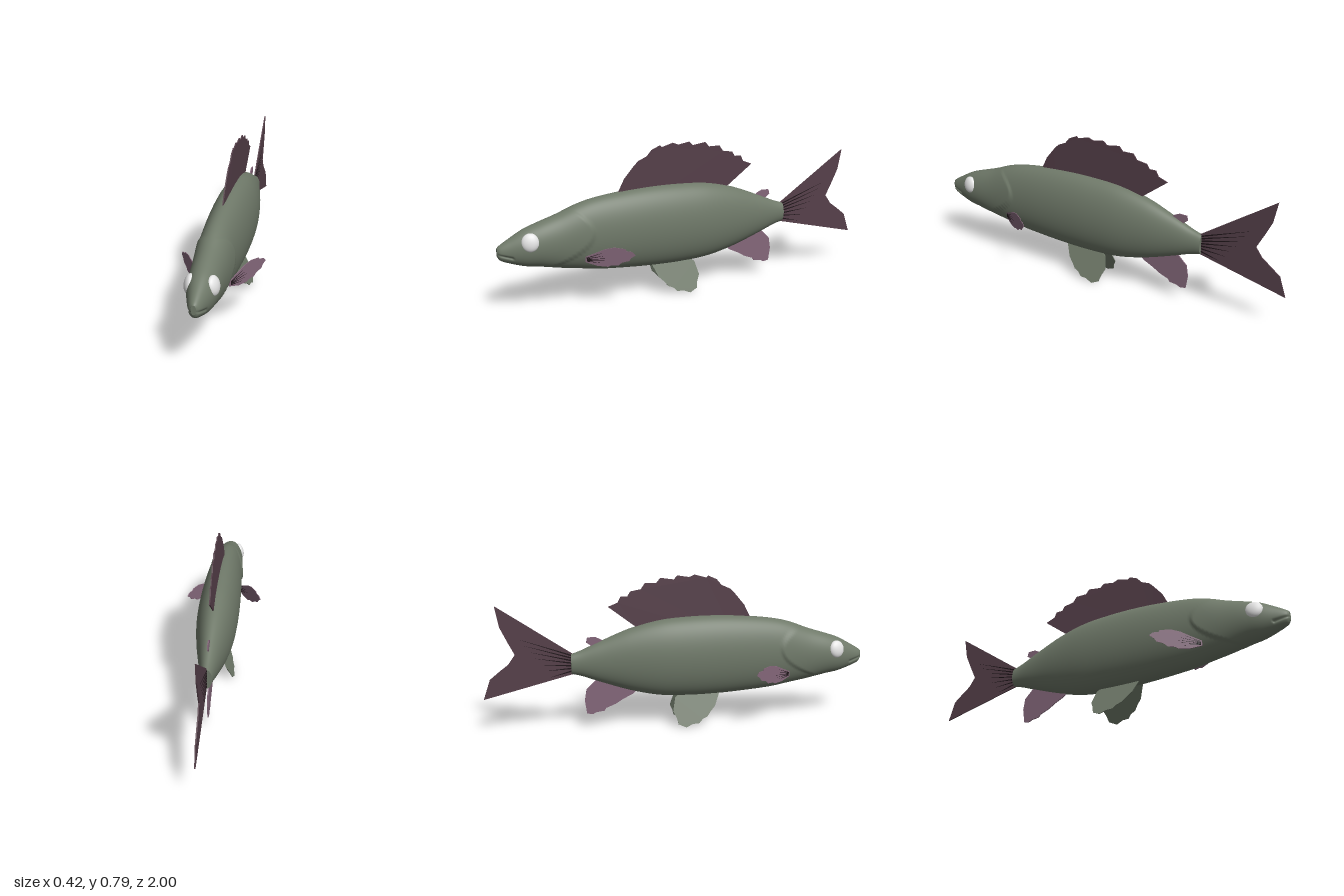
import * as THREE from 'three';

const mat = (name, color, side = THREE.FrontSide) => {
  const m = new THREE.MeshStandardMaterial({ color, side });
  m.name = name;
  return m;
};

// Body stations from nose to tail: z, top, bottom, half width
const STATIONS = [
  [1.0, 0.358, 0.312, 0.012], [0.985, 0.37, 0.293, 0.026], [0.94, 0.397, 0.273, 0.042],
  [0.87, 0.435, 0.25, 0.062], [0.8, 0.46, 0.238, 0.073], [0.7, 0.492, 0.216, 0.08],
  [0.6, 0.53, 0.198, 0.086], [0.5, 0.553, 0.18, 0.091], [0.35, 0.57, 0.166, 0.099],
  [0.2, 0.578, 0.157, 0.104], [0.05, 0.576, 0.155, 0.105], [-0.1, 0.563, 0.164, 0.099],
  [-0.25, 0.525, 0.197, 0.081], [-0.4, 0.465, 0.247, 0.055], [-0.5, 0.421, 0.284, 0.037],
  [-0.555, 0.402, 0.298, 0.029],
];

function bodyGeometry() {
  const outline = new THREE.CatmullRomCurve3(
    STATIONS.map(([z, top, bottom]) => new THREE.Vector3(z, top, bottom)), false, 'catmullrom');
  const widths = new THREE.CatmullRomCurve3(
    STATIONS.map(([, , , w]) => new THREE.Vector3(w, 0, 0)), false, 'catmullrom');
  const geo = new THREE.CylinderGeometry(1, 1, 1, 72, 160);
  const p = geo.attributes.position;
  for (let i = 0; i < p.count; i++) {
    const t = THREE.MathUtils.clamp(0.5 - p.getY(i), 0, 1);
    const { x: z, y: top, z: bottom } = outline.getPoint(t);
    const y = (top + bottom) / 2 - p.getZ(i) * (top - bottom) / 2;
    let x = p.getX(i) * widths.getPoint(t).x;
    // raised rim of the gill cover
    const d = z - (0.535 + 8 * (y - 0.4) ** 2);
    x += p.getX(i) * 0.008 * THREE.MathUtils.smoothstep(d, -0.006, 0.012) * Math.exp(-Math.max(d, 0) * 9);
    // mouth groove
    if (z > 0.93) x *= 1 - 0.2 * Math.exp(-(((y - 0.328 + (1 - z) * 0.3) / 0.006) ** 2));
    p.setXYZ(i, x, y, z);
  }
  geo.computeVertexNormals();
  return geo;
}

// Thin fin from one or more outlines drawn as [z, y]
function finGeometry(outlines, depth = 0.006) {
  const shapes = outlines.map(o => new THREE.Shape(o.map(([z, y]) => new THREE.Vector2(-z, y))));
  const geo = new THREE.ExtrudeGeometry(shapes, { depth, bevelEnabled: false });
  return geo.translate(0, 0, -depth / 2).rotateY(Math.PI / 2);
}

// Slide the vertices of a flat fin sideways by a rule of (z, y)
function lean(geo, rule) {
  const p = geo.attributes.position;
  for (let i = 0; i < p.count; i++) p.setX(i, p.getX(i) + rule(p.getZ(i), p.getY(i)));
  geo.computeVertexNormals();
  return geo;
}

// Narrow pointed ray from root to tip
const ray = (z0, y0, z1, y1, w = 0.004) => [[z0, y0 - w], [z1, y1], [z0, y0 + w]];

export function createModel() {
  const skin = mat('greenGreySkin', 0x6f7969);
  const skinFin = mat('greenGreyFin', 0x6f7969, THREE.DoubleSide);
  const plumDark = mat('darkPlum', 0x56404a, THREE.DoubleSide);
  const plumLight = mat('lightPlum', 0x84677a, THREE.DoubleSide);
  const rayDark = mat('darkRay', 0x1e1519, THREE.DoubleSide);
  const white = mat('eyeWhite', 0xe4e4e4);

  const fish = new THREE.Group();
  fish.name = 'fish';
  const add = (name, geo, material, parent = fish) => {
    const m = new THREE.Mesh(geo, material);
    m.name = name;
    parent.add(m);
    return m;
  };

  add('body', bodyGeometry(), skin);

  // Dorsal fin with a serrated edge, leaning very slightly
  const tilt = (z, y) => Math.max(0, y - 0.57) * 0.045;
  add('dorsalFin', lean(finGeometry([[
    [0.385, 0.56], [0.35, 0.63], [0.3, 0.69], [0.275, 0.715], [0.23, 0.735], [0.205, 0.765],
    [0.16, 0.785], [0.15, 0.775], [0.09, 0.792], [0.06, 0.78], [0, 0.79], [-0.02, 0.77],
    [-0.09, 0.78], [-0.11, 0.755], [-0.17, 0.755], [-0.19, 0.725], [-0.245, 0.715],
    [-0.26, 0.69], [-0.295, 0.69], [-0.31, 0.66], [-0.36, 0.64], [-0.21, 0.525],
    [-0.2, 0.46], [0.3, 0.46],
  ]]), tilt), plumDark);

  // Forked tail
  add('tailFin', finGeometry([[
    [-0.54, 0.4], [-0.925, 0.663], [-0.905, 0.555], [-0.87, 0.48], [-0.835, 0.41],
    [-0.87, 0.36], [-0.91, 0.33], [-0.965, 0.285], [-1, 0.182], [-0.54, 0.298],
  ]]), plumDark);
  const tailRays = [];
  for (let i = 0; i < 7; i++) {
    const y = 0.315 + i * 0.013;
    tailRays.push(ray(-0.545, y, -0.66 - i * 0.025, y - 0.03 + i * 0.021));
  }
  add('tailRays', finGeometry(tailRays, 0.009), rayDark);

  // Anal fin and small adipose fin
  add('analFin', finGeometry([[
    [-0.2, 0.21], [-0.24, 0.175], [-0.29, 0.15], [-0.33, 0.125], [-0.38, 0.105], [-0.39, 0.09],
    [-0.43, 0.085], [-0.45, 0.075], [-0.48, 0.08], [-0.49, 0.15], [-0.48, 0.21],
    [-0.43, 0.26], [-0.37, 0.3],
  ]]), plumLight);
  add('adiposeFin', finGeometry([[
    [-0.37, 0.45], [-0.4, 0.473], [-0.43, 0.487], [-0.47, 0.485], [-0.476, 0.46],
    [-0.455, 0.445], [-0.45, 0.42], [-0.38, 0.42],
  ]]), plumLight);

  // Paired parts on each side
  const pectoral = [[0.585, 0.25], [0.585, 0.277], [0.54, 0.3], [0.5, 0.322], [0.46, 0.333],
    [0.415, 0.328], [0.41, 0.318], [0.385, 0.315], [0.372, 0.299], [0.392, 0.283], [0.4, 0.268],
    [0.43, 0.258], [0.445, 0.243], [0.475, 0.241], [0.49, 0.232], [0.535, 0.234]];
  const pectoralRays = [0, 1, 2, 3, 4].map(i =>
    ray(0.58, 0.256 + i * 0.004, 0.49 + Math.abs(i - 2) * 0.012, 0.25 + i * 0.013, 0.002));
  const pelvic = [[0.22, 0.17], [0.19, 0.1], [0.165, 0.075], [0.145, 0.05], [0.12, 0.04],
    [0.1, 0.02], [0.065, 0.018], [0.03, 0.003], [-0.01, 0.02], [-0.018, 0.05], [-0.035, 0.085],
    [-0.02, 0.15], [0.03, 0.19], [0.18, 0.19]];
  const spread = z => 0.075 + (0.58 - z) * 0.63;
  const splay = (z, y) => 0.025 + (0.155 - y) * 0.42;

  for (const [side, s] of [['left', 1], ['right', -1]]) {
    const pair = new THREE.Group();
    pair.name = side + 'Side';
    pair.scale.x = s;
    fish.add(pair);
    add(side + 'PectoralFin', lean(finGeometry([pectoral], 0.004), spread), plumLight, pair);
    add(side + 'PectoralRays', lean(finGeometry(pectoralRays, 0.007), spread), rayDark, pair);
    add(side + 'PelvicFin', lean(finGeometry([pelvic], 0.005), splay), skinFin, pair);
    // Eyeball set into the head
    const eye = add(side + 'Eye', new THREE.SphereGeometry(1, 32, 20), white, pair);
    eye.scale.set(0.024, 0.046, 0.043);
    eye.position.set(0.053, 0.381, 0.848);
    eye.rotation.set(0, -0.25, 0.2);
  }
  return fish;
}
